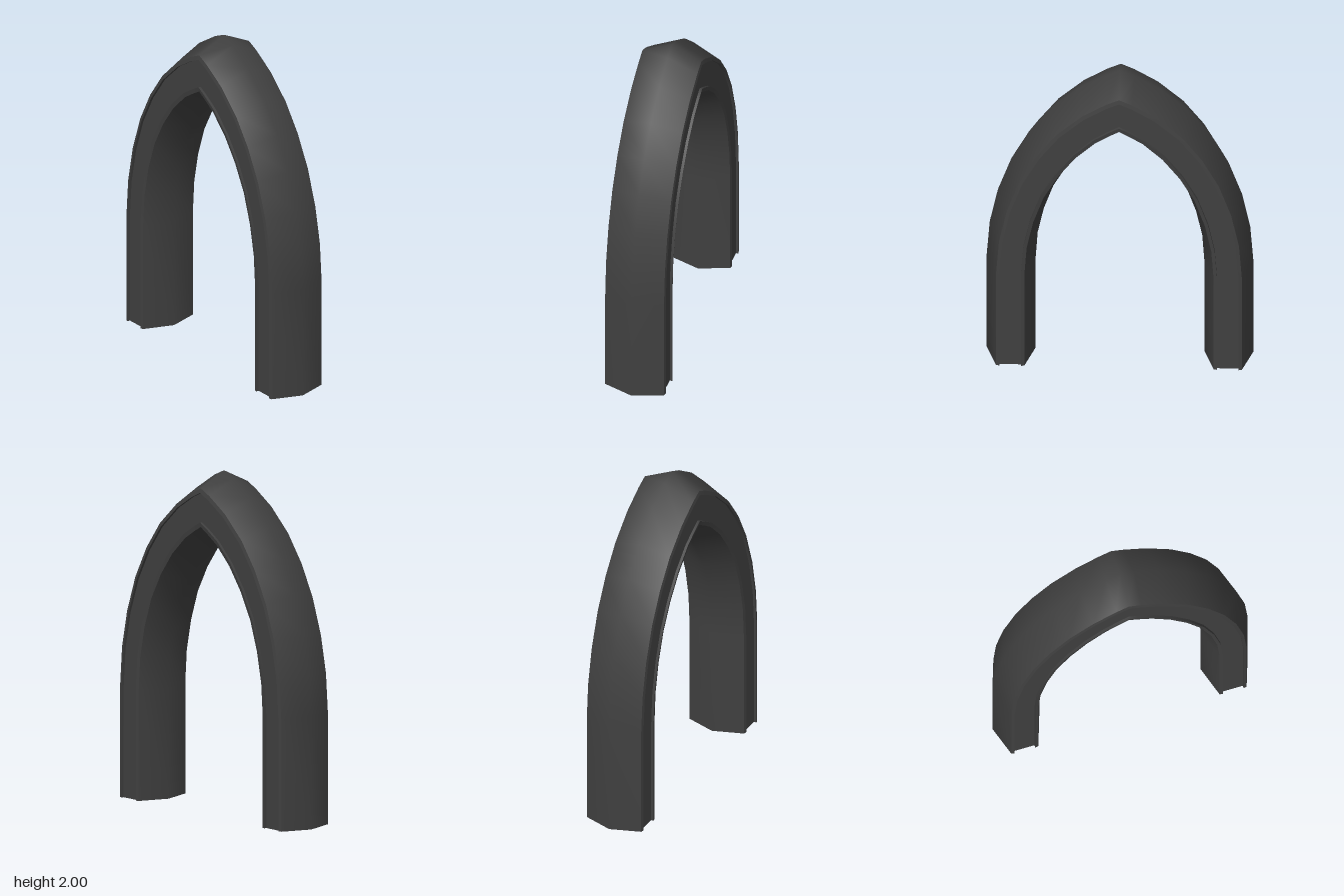
import * as THREE from 'three';
import { mergeGeometries } from 'three/addons/utils/BufferGeometryUtils.js';

// Half of the arch, foot to apex: [outer x, outer y, inner x, inner y] on the middle plane
const HALF = [
  [0.77, 0, 0.487, 0], [0.77, 0.66, 0.487, 0.65], [0.752, 0.9, 0.475, 0.83],
  [0.705, 1.13, 0.44, 1.0], [0.627, 1.355, 0.385, 1.165], [0.525, 1.55, 0.305, 1.31],
  [0.4, 1.72, 0.212, 1.435], [0.24, 1.865, 0.11, 1.535], [0.085, 1.962, 0.04, 1.58],
  [0, 2, 0, 1.605],
];
const mirrored = HALF.slice(0, -1).reverse().map(([ox, oy, ix, iy]) => [-ox, oy, -ix, iy]);
const PATH = [...HALF, ...mirrored];

// Sweeps a piece of the cross-section along the arch.
// Points are [t, z], with t = 0 on the outer line and t = 1 on the inner line.
function sweep(profile) {
  const positions = [], indices = [], n = profile.length;
  PATH.forEach(([ox, oy, ix, iy], i) => {
    for (const [t, z] of profile) positions.push(ox + (ix - ox) * t, oy + (iy - oy) * t, z);
    if (i === 0) return;
    for (let j = 0; j < n - 1; j++) {
      const a = (i - 1) * n + j, b = a + 1, c = a + n, d = b + n;
      indices.push(a, b, c, b, d, c);
    }
  });
  const geometry = new THREE.BufferGeometry();
  geometry.setAttribute('position', new THREE.Float32BufferAttribute(positions, 3));
  geometry.setIndex(indices);
  geometry.computeVertexNormals();
  return geometry;
}

export function createModel() {
  const group = new THREE.Group();
  group.name = 'pointedArch';
  const material = new THREE.MeshStandardMaterial({ color: 0x404040, side: THREE.DoubleSide });
  const add = (name, geometry) => {
    const mesh = new THREE.Mesh(geometry, material);
    mesh.name = name;
    group.add(mesh);
  };

  // Softly ridged outer and inner surfaces; the feet are open
  add('outerSurface', sweep([[0.213, 0.178], [0, 0], [0.213, -0.178]]));
  add('innerSurface', sweep([[0.79, -0.178], [1, 0], [0.79, 0.178]]));

  // Face with two narrow lips around a recessed band, each strip sharp-edged
  const face = [[0.79, 0.178], [0.72, 0.183], [0.72, 0.167], [0.28, 0.167], [0.28, 0.183], [0.213, 0.178]];
  const strips = (points) => mergeGeometries(points.slice(1).map((p, i) => sweep([points[i], p])));
  add('frontFace', strips(face));
  add('backFace', strips(face.map(([t, z]) => [t, -z]).reverse()));

  return group;
}
